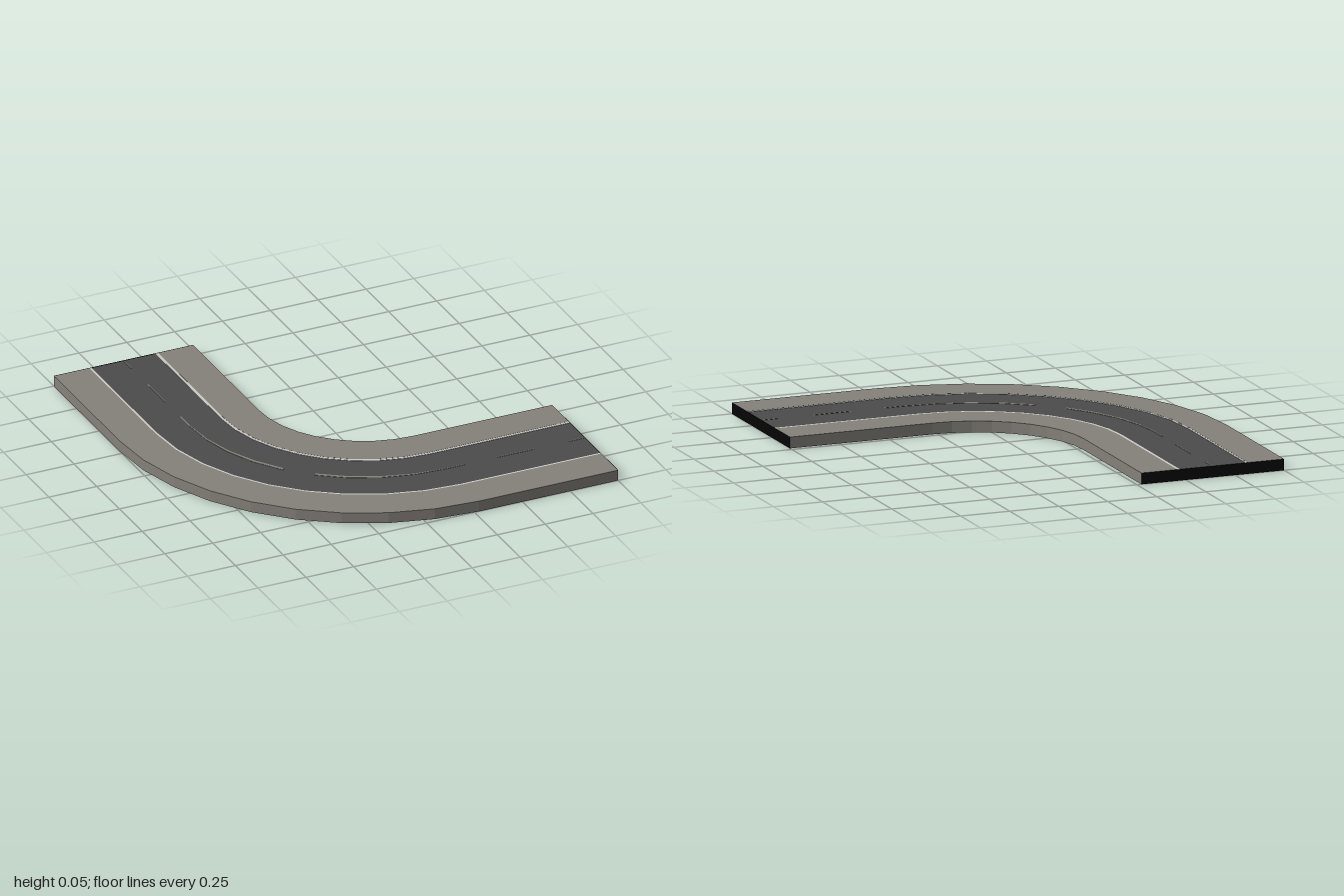
import * as THREE from 'three';

const CENTRE = 0.273; // bend centre sits at (CENTRE, -CENTRE)
const ARM = 1 - CENTRE; // length of each straight arm
const INNER = 0.546, OUTER = 1.273, MIDDLE = 0.908, TOP = 0.055;

const mat = (name, color, side = THREE.FrontSide) =>
  Object.assign(new THREE.MeshStandardMaterial({ color, flatShading: true, side }), { name });

// A station on the route: bend angle in degrees plus a run along the tangent
function place([deg, run], r, y) {
  const a = THREE.MathUtils.degToRad(deg), c = Math.cos(a), s = Math.sin(a);
  return [CENTRE - r * c + run * s, y, -CENTRE + r * s + run * c];
}

// Bend stations every ten degrees
function bend(from, to) {
  const out = [];
  for (let d = from; d <= to; d += 10) out.push([d, 0]);
  return out;
}

// Sweep a rectangular section along the stations
function sweep(name, material, stations, radii, y0, y1) {
  const pos = [];
  const rings = stations.map((st) => {
    const [r0, r1] = radii(st);
    return [[r0, y1], [r1, y1], [r1, y0], [r0, y0]].map(([r, y]) => place(st, r, y));
  });
  const quad = (a, b, c, d) => pos.push(...a, ...b, ...c, ...a, ...c, ...d);
  for (let i = 0; i < rings.length - 1; i++) {
    const p = rings[i], q = rings[i + 1];
    for (let k = 0; k < 4; k++) {
      const n = (k + 1) % 4;
      quad(p[k], p[n], q[n], q[k]);
    }
  }
  const first = rings[0], last = rings[rings.length - 1];
  quad(first[3], first[2], first[1], first[0]);
  quad(...last);
  const geo = new THREE.BufferGeometry();
  geo.setAttribute('position', new THREE.Float32BufferAttribute(pos, 3));
  geo.computeVertexNormals();
  const mesh = new THREE.Mesh(geo, material);
  mesh.name = name;
  return mesh;
}

export function createModel() {
  const group = new THREE.Group();
  group.name = 'roadBend';
  const asphalt = mat('asphalt', 0x4c4c4c);
  const paving = mat('paving', 0x85817a);
  const paint = mat('paint', 0xc9c9c5);
  const endBlack = mat('endBlack', 0x050505, THREE.DoubleSide);

  const route = [[0, -ARM], ...bend(0, 90), [90, ARM]];
  const band = (name, material, r0, r1, y0, y1) =>
    group.add(sweep(name, material, route, () => [r0, r1], y0, y1));

  // Pavements, carriageway and edge lines
  band('innerPavement', paving, INNER, 0.729, 0, TOP);
  band('outerPavement', paving, 1.088, OUTER, 0, TOP);
  band('carriageway', asphalt, 0.729, 1.088, 0.003, 0.053);
  band('innerEdgeLine', paint, 0.729, 0.743, 0.053, 0.0545);
  band('outerEdgeLine', paint, 1.078, 1.088, 0.053, 0.0545);

  // Centre dashes, widening towards the middle of the bend
  const dashes = [
    [[0, -ARM], [0, -0.64]],
    [[0, -0.46], [0, -0.27]],
    [[0, -0.1], ...bend(0, 40)],
    [...bend(50, 90), [90, 0.1]],
    [[90, 0.27], [90, 0.46]],
    [[90, 0.64], [90, ARM]],
  ];
  const dashRadii = ([deg]) => {
    const half = 0.0025 + 0.0055 * Math.min(1, Math.min(deg, 90 - deg) / 30);
    return [MIDDLE - half, MIDDLE + half];
  };
  dashes.forEach((d) => group.add(sweep('centreDash', paving, d, dashRadii, 0.053, 0.0545)));

  // Black faces closing both ends
  const capGeo = new THREE.PlaneGeometry(OUTER - INNER, TOP);
  const mid = (OUTER + INNER) / 2 - CENTRE;
  [[-mid, -1.0005, Math.PI], [1.0005, mid, Math.PI / 2]].forEach(([x, z, turn]) => {
    const cap = new THREE.Mesh(capGeo, endBlack);
    cap.name = 'endFace';
    cap.position.set(x, TOP / 2, z);
    cap.rotation.y = turn;
    group.add(cap);
  });

  // Pale strips across the underside: x, z start, z end
  [[0, 0.41, 0.78], [-0.37, 0.09, 0.61], [-0.73, -0.25, 0.14]].forEach(([x, z0, z1]) => {
    const strip = new THREE.Mesh(new THREE.BoxGeometry(0.02, 0.002, z1 - z0), paint);
    strip.name = 'undersideStrip';
    strip.position.set(x, 0.002, (z0 + z1) / 2);
    group.add(strip);
  });

  return group;
}
